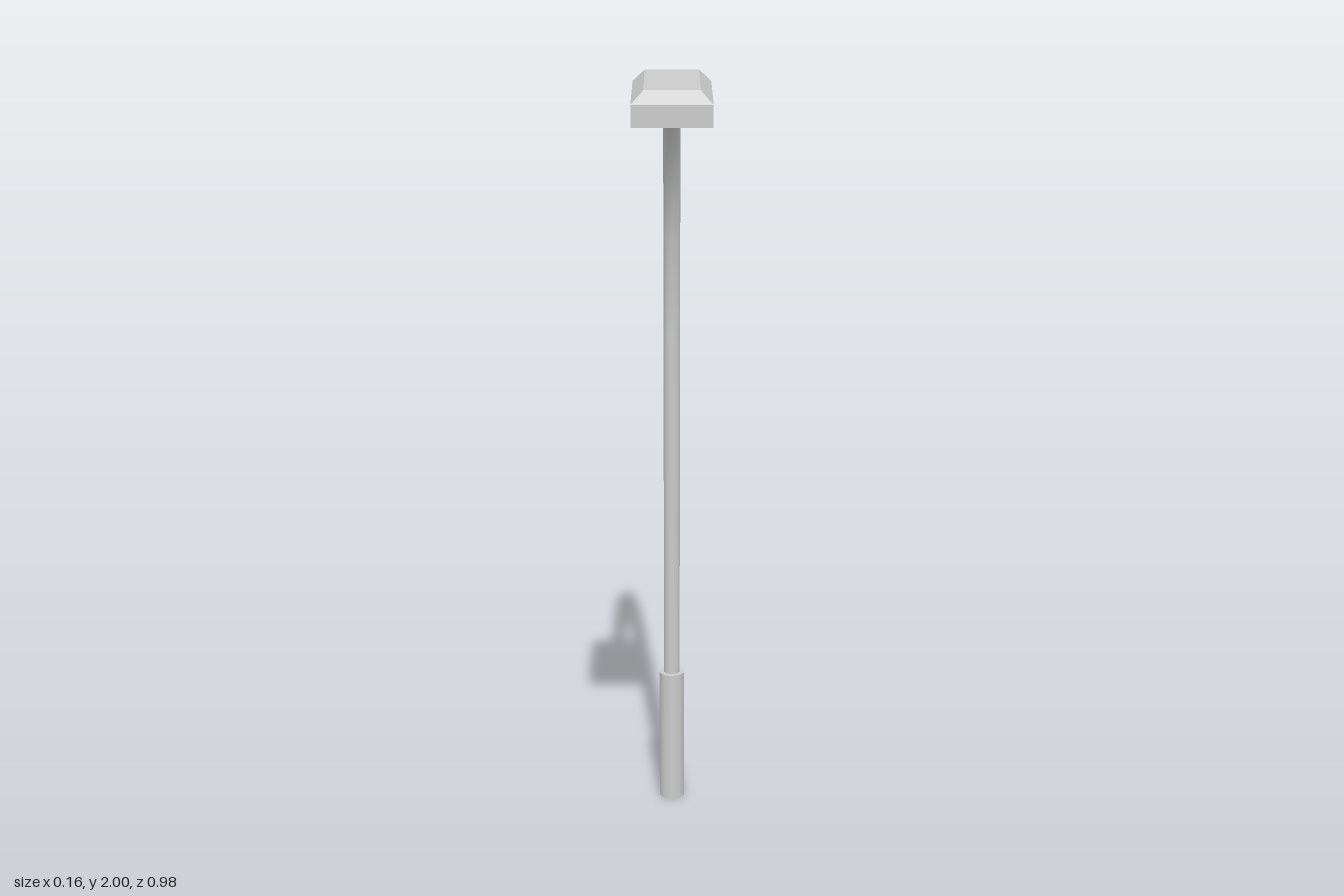
import * as THREE from 'three';

const SIDES = 10;
const POLE_Z = -0.457;

// Cylinder whose rings are moved onto a mitred path in the yz plane
function bentPole(points, radius) {
  const n = points.length;
  const geo = new THREE.CylinderGeometry(radius, radius, 1, SIDES, n - 1, true);
  const pos = geo.attributes.position, nor = geo.attributes.normal;
  const dir = (a, b) => new THREE.Vector2().subVectors(b, a).normalize();
  for (let i = 0; i < pos.count; i++) {
    const row = n - 1 - Math.floor(i / (SIDES + 1));
    const p = points[row];
    const before = row > 0 ? dir(points[row - 1], p) : dir(p, points[1]);
    const after = row < n - 1 ? dir(p, points[row + 1]) : before;
    const t = before.clone().add(after).normalize();
    const mitre = 1 / t.dot(after);
    // t holds (z, y); the ring's second axis is perpendicular to it
    const x = pos.getX(i), s = pos.getZ(i) * mitre;
    pos.setXYZ(i, x, p.y - t.x * s, p.x + t.y * s);
    const nz = nor.getZ(i);
    nor.setXYZ(i, nor.getX(i), -t.x * nz, t.y * nz);
  }
  return geo;
}

// Box with an upright lower rim and a chamfered upper half
function lampHeadGeometry() {
  const geo = new THREE.BoxGeometry(0.16, 0.07, 0.27, 1, 2, 1);
  const pos = geo.attributes.position;
  for (let i = 0; i < pos.count; i++) {
    const y = pos.getY(i);
    if (y > 0.01) {
      pos.setX(i, Math.sign(pos.getX(i)) * 0.055);
      pos.setZ(i, Math.sign(pos.getZ(i)) * 0.118);
    } else if (y > -0.01) pos.setY(i, 0.009);
  }
  geo.computeVertexNormals();
  return geo;
}

export function createModel() {
  const group = new THREE.Group();
  const metal = new THREE.MeshStandardMaterial({ color: 0xcccccc });
  const faceted = new THREE.MeshStandardMaterial({ color: 0xcccccc, flatShading: true });
  const add = (name, geo, mat, x, y, z) => {
    const mesh = new THREE.Mesh(geo, mat);
    mesh.name = name;
    mesh.position.set(x, y, z);
    group.add(mesh);
  };

  // Thick sleeve at the foot
  add('base', new THREE.CylinderGeometry(0.033, 0.033, 0.35, SIDES), metal, 0, 0.175, POLE_Z);

  // Pole and curved arm, as (z, y) points
  const path = [
    [POLE_Z, 0.34], [POLE_Z, 1.235], [-0.441, 1.495], [-0.35, 1.72],
    [-0.17, 1.878], [0.08, 1.951], [0.24, 1.963],
  ].map(([z, y]) => new THREE.Vector2(z, y));
  add('poleAndArm', bentPole(path, 0.021), metal, 0, 0, 0);

  // Lamp housing at the end of the arm
  add('lampHead', lampHeadGeometry(), faceted, 0, 1.965, 0.355);

  return group;
}
